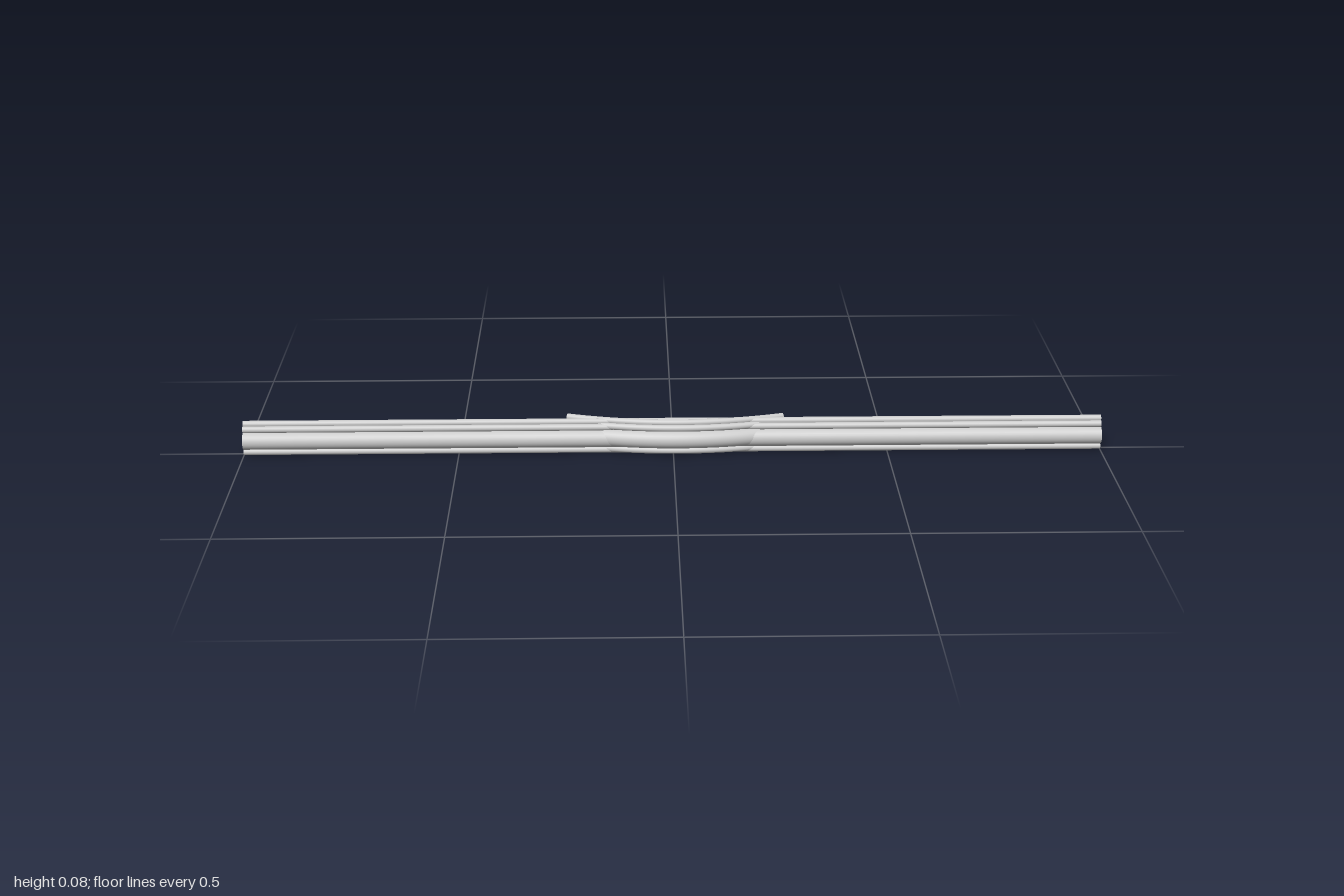
import * as THREE from 'three';

// Cross-section of one bundle: a main bar and five thin rods [name, y, z, radius]
const SECTION = [
  ['mainBar', 0.035, 0, 0.021],
  ['topRod', 0.073, -0.009, 0.0078],
  ['upperFrontRod', 0.0625, 0, 0.0078],
  ['upperBackRod', 0.06, -0.013, 0.0078],
  ['lowerFrontRod', 0.008, 0.001, 0.0078],
  ['lowerBackRod', 0.0085, -0.013, 0.0078],
];

const material = new THREE.MeshStandardMaterial({ color: 0xcccccc });

// Capped rod lying along x
function rodGeometry(radius, x0, x1, segments) {
  const g = new THREE.CylinderGeometry(radius, radius, x1 - x0, 28, segments);
  g.rotateZ(-Math.PI / 2);
  g.translate((x0 + x1) / 2, 0, 0);
  return g;
}

// Bows a rod forward in z (and slightly up), keeping its section square to the path
function bow(geometry) {
  const p = geometry.attributes.position;
  const n = geometry.attributes.normal;
  for (let i = 0; i < p.count; i++) {
    const x = p.getX(i), z = p.getZ(i), u = x - 0.015;
    const angle = Math.atan(-1.6 * u);
    const s = Math.sin(angle), c = Math.cos(angle);
    p.setXYZ(i, x - s * z, p.getY(i) + 0.004 * (1 - (u / 0.265) ** 2), 0.028 - 0.8 * u * u + c * z);
    const nx = n.getX(i), nz = n.getZ(i);
    n.setXYZ(i, c * nx - s * nz, n.getY(i), s * nx + c * nz);
  }
  return geometry;
}

function bundle(name, x0, x1, zShift, bowed) {
  const group = new THREE.Group();
  group.name = name;
  for (const [part, y, z, radius] of SECTION) {
    const g = rodGeometry(radius, x0, x1, bowed ? 32 : 1);
    g.translate(0, y, z + zShift);
    const mesh = new THREE.Mesh(bowed ? bow(g) : g, material);
    mesh.name = part;
    group.add(mesh);
  }
  return group;
}

export function createModel() {
  const model = new THREE.Group();
  model.name = 'rodBundles';
  // Long straight bundle, and the short bowed one crossing its middle
  model.add(bundle('straightBundle', -1, 1, 0.006, false));
  model.add(bundle('bowedBundle', -0.25, 0.26, 0, true));
  return model;
}
